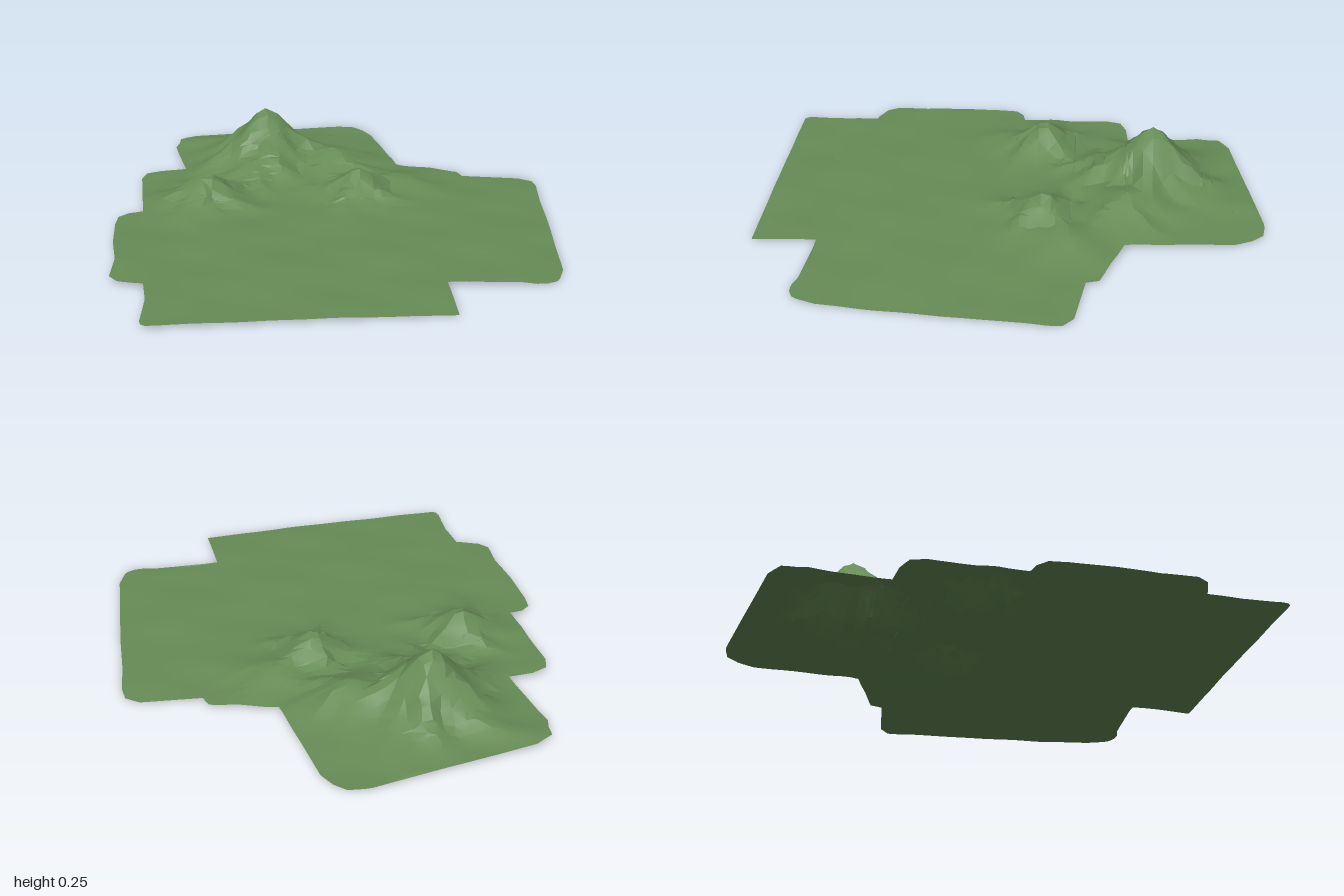
import * as THREE from 'three';
import { toCreasedNormals } from 'three/addons/utils/BufferGeometryUtils.js';

// Outline of the land as [z, x] points, back to front
const WEST = [[-1, 0.09], [-0.9, -0.55], [-0.86, -0.62], [-0.81, -0.625], [-0.765, -0.64], [-0.463, -0.595],
  [-0.455, -0.695], [-0.43, -0.76], [-0.37, -0.78], [-0.002, -0.765], [0.008, -0.82], [0.04, -0.86], [0.11, -0.87],
  [0.29, -0.87], [0.45, -0.855], [0.585, -0.87], [0.63, -0.84], [0.66, -0.765], [0.664, -0.745], [0.8, -0.735],
  [0.955, -0.75], [0.98, -0.745], [0.992, -0.73]];
const EAST = [[-1, 0.12], [-0.99, 0.18], [-0.945, 0.22], [-0.88, 0.25], [-0.45, 0.31], [-0.36, 0.56], [-0.31, 0.575],
  [-0.275, 0.81], [-0.235, 0.86], [-0.18, 0.865], [-0.01, 0.845], [0.19, 0.83], [0.66, 0.78], [0.735, 0.75],
  [0.739, 0.34], [0.992, 0.34]];
// Rounded lip at the south-east corner
const LIP_WEST = [[0.735, 0.34], [0.755, 0.61], [0.77, 0.66]];
const LIP_EAST = [[0.735, 0.75], [0.755, 0.735], [0.77, 0.7]];

// Hills: x, z, height, radius along x, radius along z
const HILLS = [
  [-0.24, -0.56, 0.238, 0.165, 0.165], // main peak
  [-0.3, -0.36, 0.075, 0.11, 0.13],    // south spur
  [0.03, -0.46, 0.088, 0.15, 0.13],    // east shoulder
  [-0.51, -0.11, 0.112, 0.12, 0.12],   // west hill
  [0.11, -0.13, 0.115, 0.11, 0.11],    // east hill
  [0.28, -0.22, 0.045, 0.13, 0.12],    // low ridge
];

function along(line, z) {
  let k = 1;
  while (k < line.length - 1 && line[k][0] < z) k++;
  const [z0, x0] = line[k - 1], [z1, x1] = line[k];
  return THREE.MathUtils.mapLinear(THREE.MathUtils.clamp(z, z0, z1), z0, z1, x0, x1);
}

// Ground height: tilted plain, soft ripples and hills with gullies
function height(x, z) {
  const plain = 0.015 - 0.009 * x + 0.013 * Math.max(0, 1 - x * x - (z - 0.1) ** 2);
  const ripple = 0.0028 * Math.sin(9 * x + 5 * z + 1) * Math.sin(11 * z - 4 * x)
    + 0.0015 * Math.sin(19 * x - 8 * z) * Math.sin(17 * z + 6 * x + 2);
  let sum = 0;
  for (const [hx, hz, h, rx, rz] of HILLS) {
    const dx = (x - hx) / rx, dz = (z - hz) / rz, d = Math.hypot(dx, dz), a = Math.atan2(dz, dx);
    const gully = 1 + 0.13 * Math.min(d, 1) * (Math.sin(5 * a + 9 * hx) + 0.6 * Math.sin(9 * a + 3 * d));
    sum += (h * Math.exp(-Math.pow(d * gully, 1.65))) ** 3;
  }
  return Math.max(0.002, plain + ripple + Math.cbrt(sum));
}

// Small repeatable offset that breaks up the regular grid
const jitter = (i, j) => {
  const s = Math.sin(i * 127.1 + j * 311.7) * 43758.5453;
  return (s - Math.floor(s) - 0.5) * 0.022;
};

// Sheet of ground between a west and an east edge line
function sheet(west, east, step) {
  const z0 = west[0][0], z1 = west[west.length - 1][0];
  const zs = [...west, ...east].map((p) => p[0]);
  for (let z = z0 + step; z < z1; z += step) zs.push(z);
  const rows = [...new Set(zs)].sort((a, b) => a - b);
  const columns = Math.ceil(1.84 / step);
  const point = (i, j) => {
    const z = rows[j];
    const x = THREE.MathUtils.clamp(-0.92 + i * step + jitter(i, j), along(west, z), along(east, z));
    return new THREE.Vector3(x, height(x, z), z);
  };
  const positions = [], ab = new THREE.Vector3(), ac = new THREE.Vector3();
  const triangle = (a, b, c) => {
    if (ab.subVectors(b, a).cross(ac.subVectors(c, a)).length() < 1e-9) return;
    for (const p of [a, b, c]) positions.push(p.x, p.y, p.z);
  };
  for (let j = 0; j < rows.length - 1; j++) {
    for (let i = 0; i < columns; i++) {
      const a = point(i, j), b = point(i + 1, j), c = point(i, j + 1), d = point(i + 1, j + 1);
      if ((i + j) % 2) {
        triangle(a, c, b);
        triangle(b, c, d);
      } else {
        triangle(a, c, d);
        triangle(a, d, b);
      }
    }
  }
  const geometry = new THREE.BufferGeometry();
  geometry.setAttribute('position', new THREE.Float32BufferAttribute(positions, 3));
  return toCreasedNormals(geometry, 0.3);
}

export function createModel() {
  const group = new THREE.Group();
  group.name = 'hillyTerrain';
  const grass = new THREE.MeshStandardMaterial({ color: 0x678c56, side: THREE.DoubleSide });
  grass.name = 'grassGreen';

  // Main land with the three hills
  const land = new THREE.Mesh(sheet(WEST, EAST, 0.04), grass);
  land.name = 'land';

  // Thin rounded corner at the front
  const lip = new THREE.Mesh(sheet(LIP_WEST, LIP_EAST, 0.04), grass);
  lip.name = 'cornerLip';

  group.add(land, lip);
  return group;
}
